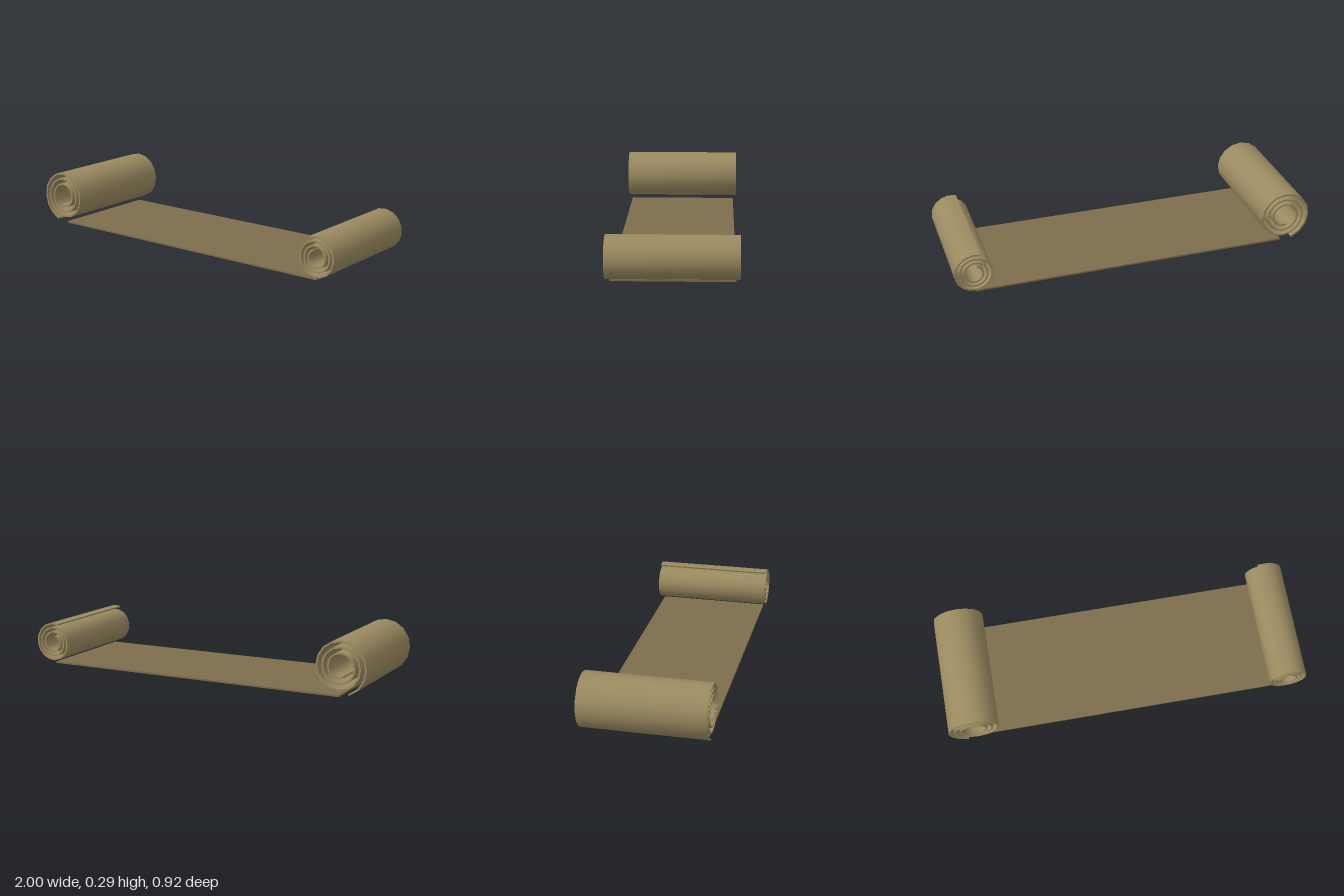
import * as THREE from 'three';
import { toCreasedNormals } from 'three/addons/utils/BufferGeometryUtils.js';

const ROLL_LENGTH = 0.64;
const THICKNESS = 0.009;
const SIDES = 16; // facets per turn

// Rolled sheet: a spiral strip wound clockwise from its loose outer end inwards
function makeRoll(name, { x, y, radius, pitch, turns, startDeg }, material) {
  const outer = [];
  const inner = [];
  const steps = SIDES * turns;
  for (let i = 0; i <= steps; i++) {
    const t = i / SIDES;
    const a = THREE.MathUtils.degToRad(startDeg) - t * Math.PI * 2;
    const r = radius - pitch * t;
    outer.push(new THREE.Vector2(Math.cos(a) * r, Math.sin(a) * r));
    inner.push(new THREE.Vector2(Math.cos(a) * (r - THICKNESS), Math.sin(a) * (r - THICKNESS)));
  }
  const shape = new THREE.Shape([...outer, ...inner.reverse()]);
  const solid = new THREE.ExtrudeGeometry(shape, { depth: ROLL_LENGTH, bevelEnabled: false });
  solid.translate(0, 0, -ROLL_LENGTH / 2);
  const mesh = new THREE.Mesh(toCreasedNormals(solid, 0.6), material);
  mesh.name = name;
  mesh.position.set(x, y, 0);
  return mesh;
}

export function createModel() {
  const group = new THREE.Group();
  group.name = 'scroll';
  const rollMaterial = new THREE.MeshStandardMaterial({ color: 0x9a8a60 });
  const sheetMaterial = new THREE.MeshStandardMaterial({ color: 0x7c6d4b });

  // Flat open sheet between the rolls
  const sheet = new THREE.Mesh(new THREE.BoxGeometry(1.67, 0.009, 0.605), sheetMaterial);
  sheet.name = 'openSheet';
  sheet.position.set(0.018, 0.0045, 0);
  group.add(sheet);

  // Large roll, loose end underneath; small roll, loose end on top
  group.add(makeRoll('largeRoll',
    { x: -0.823, y: 0.154, radius: 0.147, pitch: 0.03, turns: 3, startDeg: 250 }, rollMaterial));
  group.add(makeRoll('smallRoll',
    { x: 0.857, y: 0.117, radius: 0.112, pitch: 0.023, turns: 3, startDeg: 108 }, rollMaterial));

  // The whole scroll lies slightly turned
  group.rotation.y = 0.149;
  return group;
}
